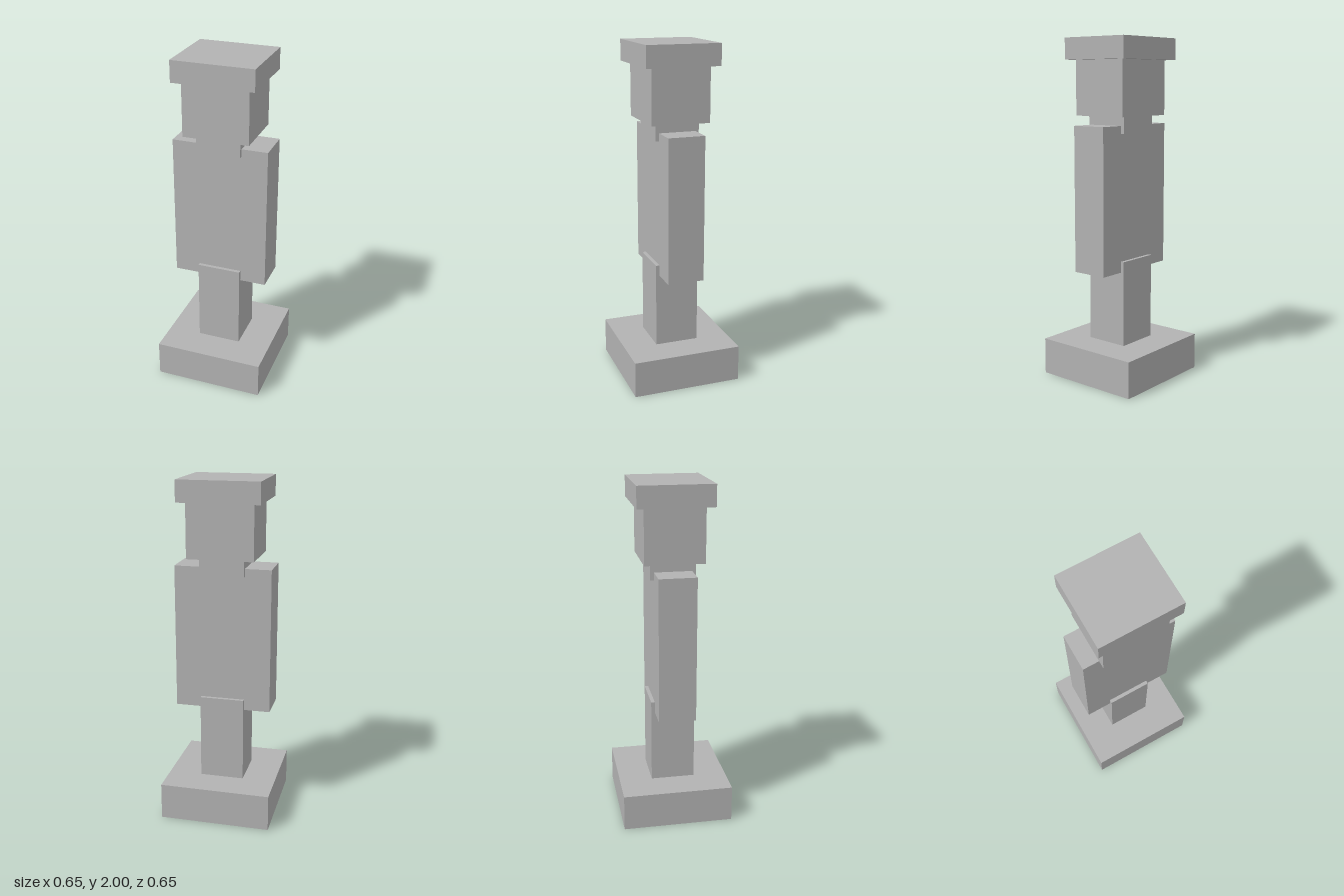
import * as THREE from 'three';

export function createModel() {
  const model = new THREE.Group();
  model.name = 'blockFigure';

  const stone = new THREE.MeshStandardMaterial({ color: 0xb2b2b2 });
  stone.name = 'plain grey';

  // One upright block: full width, full depth, bottom and top heights
  function block(name, width, depth, bottom, top) {
    const mesh = new THREE.Mesh(new THREE.BoxGeometry(width, top - bottom, depth), stone);
    mesh.name = name;
    mesh.position.y = (bottom + top) / 2;
    model.add(mesh);
  }

  block('base', 0.65, 0.65, 0, 0.215);
  block('legPost', 0.26, 0.26, 0.215, 0.72);
  block('torso', 0.566, 0.217, 0.655, 1.505);
  block('neck', 0.26, 0.26, 1.46, 1.558);
  block('head', 0.388, 0.345, 1.558, 1.876);
  block('cap', 0.476, 0.434, 1.876, 2);

  return model;
}
